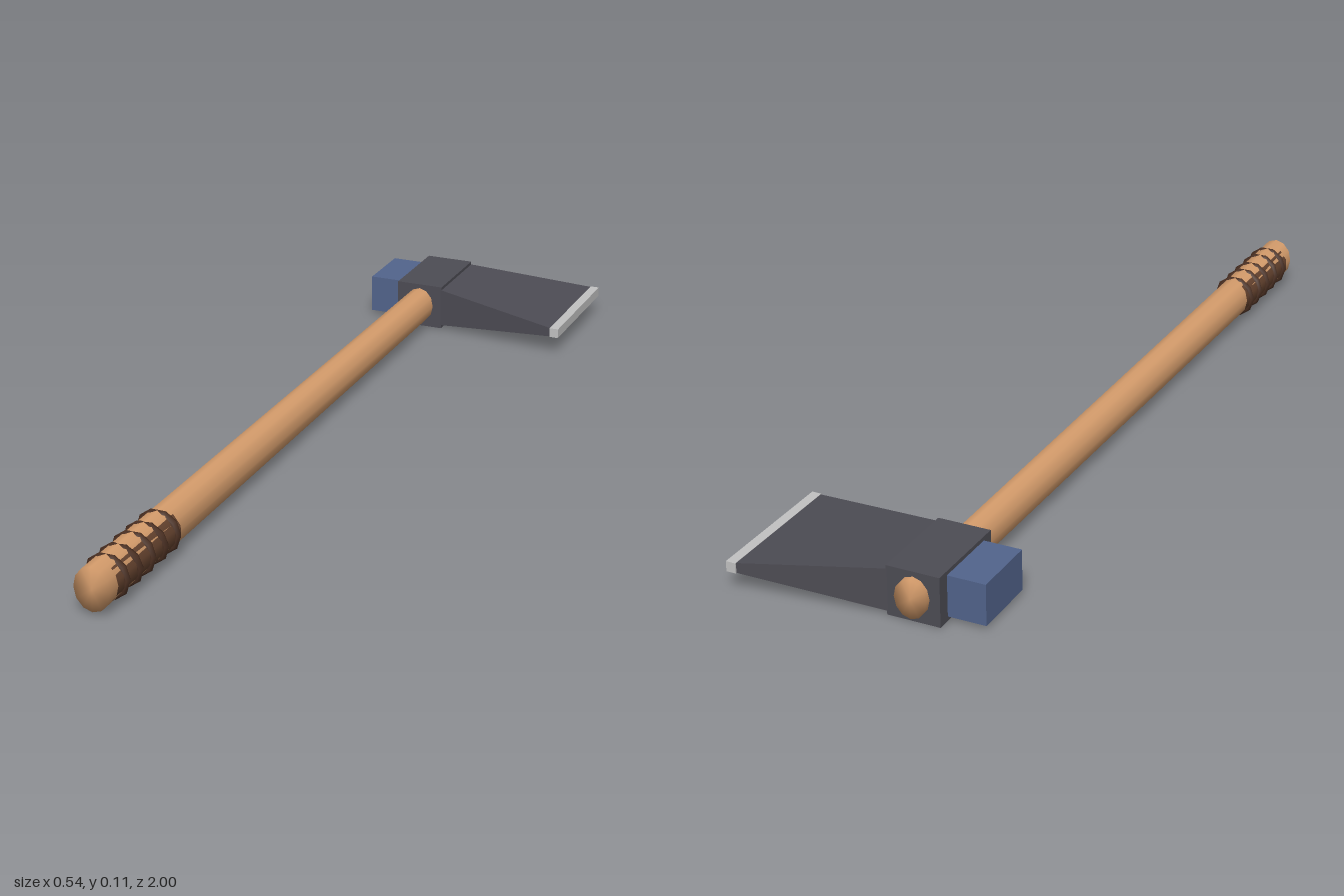
import * as THREE from 'three';
import { mergeVertices } from 'three/addons/utils/BufferGeometryUtils.js';

const AXIS_X = -0.125, AXIS_Y = 0.056, HEAD_Z = -0.835;

function material(name, color) {
  const m = new THREE.MeshStandardMaterial({ color });
  m.name = name;
  return m;
}

// Share all vertices so the shading rolls softly over the ends
function soften(geometry) {
  geometry.deleteAttribute('uv');
  geometry.deleteAttribute('normal');
  const g = mergeVertices(geometry, 1e-4);
  g.computeVertexNormals();
  return g;
}

// Rod along z; the first radius is at the +z end
function rod(rFront, rBack, zFront, zBack, sides) {
  return new THREE.CylinderGeometry(rFront, rBack, zFront - zBack, sides)
    .rotateX(Math.PI / 2)
    .translate(0, 0, (zFront + zBack) / 2);
}

export function createModel() {
  const group = new THREE.Group();
  const wood = material('wood', 0xd69d6c);
  const leather = material('leather', 0x64422e);
  const cord = material('dark cord', 0x4c3022);
  const iron = material('dark iron', 0x4d4c54);
  const blueSteel = material('blue steel', 0x52648c);
  const edgeSteel = material('edge steel', 0xc2c2c2);

  const add = (name, geometry, mat, x, y, z) => {
    const mesh = new THREE.Mesh(geometry, mat);
    mesh.name = name;
    mesh.position.set(x, y, z);
    group.add(mesh);
    return mesh;
  };

  // Oval tapering handle
  const handle = rod(0.0495, 0.044, 1, -0.956, 12).scale(0.82, 1, 1);
  add('handle', soften(handle), wood, AXIS_X, AXIS_Y, 0);

  // Grip sleeve with five bindings, every second one slightly tilted
  add('gripSleeve', soften(rod(0.0445, 0.0445, 0.965, 0.7, 10)), leather, AXIS_X, AXIS_Y, 0);
  for (let i = 0; i < 5; i++) {
    const ring = add('gripBinding', new THREE.TorusGeometry(0.042, 0.01, 6, 10),
      cord, AXIS_X, AXIS_Y, 0.718 + i * 0.0545);
    ring.rotation.x = i % 2 ? 0.12 : 0;
  }

  // Head block around the handle and the poll behind it
  add('headBlock', new THREE.BoxGeometry(0.119, 0.111, 0.215), iron, -0.1245, 0.0555, HEAD_Z);
  add('poll', new THREE.BoxGeometry(0.09, 0.092, 0.155), blueSteel, -0.224, 0.056, HEAD_Z);

  // Blade: thins in height and flares in width towards the edge
  const blade = new THREE.BoxGeometry(0.314, 1, 1).toNonIndexed();
  const p = blade.attributes.position;
  for (let i = 0; i < p.count; i++) {
    const outer = p.getX(i) > 0;
    p.setY(i, p.getY(i) * (outer ? 0.022 : 0.095));
    p.setZ(i, p.getZ(i) * (outer ? 0.325 : 0.215));
  }
  blade.computeVertexNormals();
  add('blade', blade, iron, 0.09, AXIS_Y, HEAD_Z);
  add('cuttingEdge', new THREE.BoxGeometry(0.022, 0.023, 0.33), edgeSteel, 0.257, AXIS_Y, HEAD_Z);

  return group;
}
